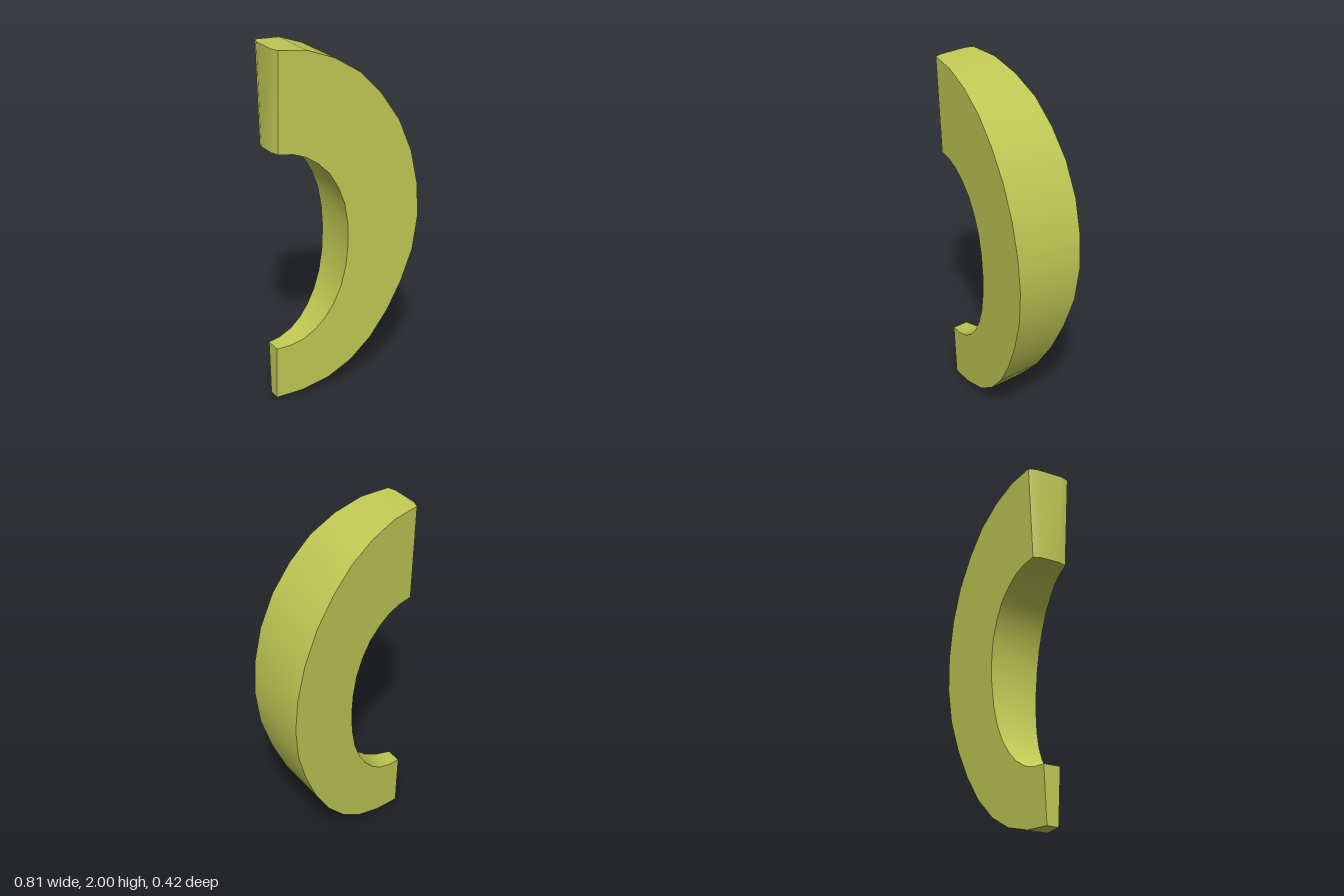
import * as THREE from 'three';
import { mergeGeometries } from 'three/addons/utils/BufferGeometryUtils.js';

// Outlines from the upper end to the lower end: [x, y]
const outerLine = [
  [-0.39, 2.0], [-0.24, 1.985], [-0.095, 1.93], [0.045, 1.84], [0.165, 1.71], [0.268, 1.555],
  [0.345, 1.37], [0.39, 1.17], [0.403, 0.98], [0.382, 0.785], [0.325, 0.6], [0.25, 0.43],
  [0.155, 0.275], [0.04, 0.15], [-0.09, 0.065], [-0.24, 0.016], [-0.39, 0.0],
];
const innerLine = [
  [-0.39, 1.455], [-0.31, 1.445], [-0.24, 1.42], [-0.175, 1.375], [-0.11, 1.31], [-0.06, 1.225],
  [-0.02, 1.12], [0.0, 1.0], [0.005, 0.88], [-0.005, 0.75], [-0.03, 0.63], [-0.07, 0.53],
  [-0.12, 0.45], [-0.175, 0.39], [-0.24, 0.345], [-0.315, 0.32], [-0.39, 0.313],
];

// Both sides are planes, so the half thickness is linear in x and y
const halfThickness = (x, y) => 0.032 + 0.1585 * (x + 0.39) + 0.045 * y;
const row = (line, side) => line.map(([x, y]) => [x, y, side * halfThickness(x, y)]);

// Surface between a left and a right row of points, seen from outside
function strip(left, right) {
  const index = [];
  const n = left.length;
  for (let i = 0; i < n - 1; i++) {
    index.push(i, i + 1, n + i + 1, i, n + i + 1, n + i);
  }
  const geometry = new THREE.BufferGeometry();
  geometry.setAttribute('position', new THREE.Float32BufferAttribute([...left, ...right].flat(), 3));
  geometry.setIndex(index);
  geometry.computeVertexNormals();
  return geometry;
}

export function createModel() {
  const olive = new THREE.MeshStandardMaterial({ color: 0xc1ca54 });
  const group = new THREE.Group();
  group.name = 'taperedArch';
  const add = (name, ...parts) => {
    const mesh = new THREE.Mesh(mergeGeometries(parts), olive);
    mesh.name = name;
    group.add(mesh);
  };

  const outerFront = row(outerLine, 1), outerBack = row(outerLine, -1);
  const innerFront = row(innerLine, 1), innerBack = row(innerLine, -1);

  // Curved bands and the two flat sides
  add('outerBand', strip(outerFront, outerBack));
  add('innerBand', strip(innerBack, innerFront));
  add('frontSide', strip(innerFront, outerFront));
  add('backSide', strip(outerBack, innerBack));

  // Upper end: a softly raised face, closed above and below
  const rim = ([x, y]) => {
    const w = halfThickness(x, y);
    return [[x, y, -w], [x - 0.015, y, 0.045 - w], [x - 0.015, y, w - 0.045], [x, y, w]];
  };
  const top = rim(outerLine[0]), base = rim(innerLine[0]);
  add('upperEnd', strip(base, top),
    strip([top[1], top[2]], [top[0], top[3]]),
    strip([base[0], base[3]], [base[1], base[2]]));

  // Lower end: a narrow flat face
  const last = outerLine.length - 1;
  add('lowerEnd', strip([innerBack[last], outerBack[last]], [innerFront[last], outerFront[last]]));

  return group;
}
